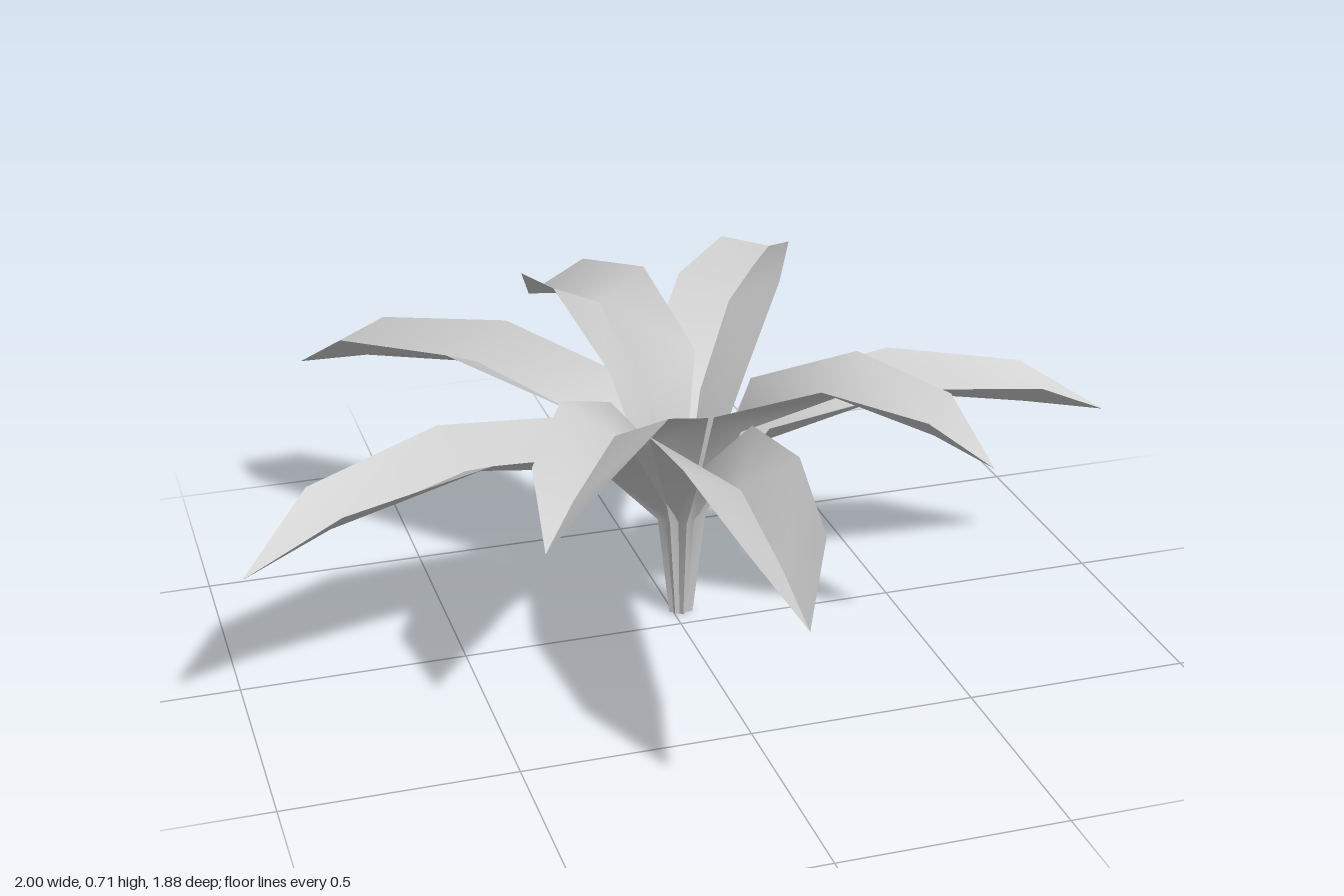
import * as THREE from 'three';

const BASE = new THREE.Vector3(0.02, 0, -0.07);

// Each leaf: tip x, tip z, midrib heights at rows 2, 3, 4 and at the tip
const LEAVES = [
  [-0.70, -0.855, 0.41, 0.50, 0.45, 0.39],
  [-0.17, -0.68, 0.50, 0.65, 0.61, 0.57],
  [0.53, -0.945, 0.46, 0.56, 0.54, 0.52],
  [1.00, 0.04, 0.41, 0.50, 0.455, 0.42],
  [0.58, 0.38, 0.47, 0.59, 0.535, 0.48],
  [-0.04, 0.94, 0.45, 0.545, 0.52, 0.485],
  [-0.43, 0.48, 0.47, 0.59, 0.535, 0.48],
  [-1.00, 0.22, 0.41, 0.49, 0.44, 0.38],
];

const HALF_WIDTH = [0.012, 0.03, 0.115, 0.122, 0.085, 0];
const FOLD_DEPTH = [0, 0, 0.08, 0.06, 0.065, 0]; // how far the rim rises above the midrib
const FOLD_INWARD = [0.012, 0.025, 0.02, 0, -0.01, 0]; // rim offset towards the stem

// One half of the V-shaped blade: a strip between midrib and rim
function halfBlade(rows, out, across, side) {
  const pos = [], index = [];
  rows.forEach(([r, y], i) => {
    const mid = BASE.clone().addScaledVector(out, r).setY(y);
    const rim = mid.clone()
      .addScaledVector(across, side * HALF_WIDTH[i])
      .addScaledVector(out, -FOLD_INWARD[i]);
    rim.y += FOLD_DEPTH[i];
    pos.push(...mid.toArray(), ...rim.toArray());
    if (i === rows.length - 1) return;
    const a = 2 * i, b = a + 1, c = a + 2, d = a + 3;
    const last = i === rows.length - 2;
    // faces wound so the upper side is the front
    if (side > 0) index.push(a, c, b, ...(last ? [] : [b, c, d]));
    else index.push(a, b, c, ...(last ? [] : [b, d, c]));
  });
  const g = new THREE.BufferGeometry();
  g.setAttribute('position', new THREE.Float32BufferAttribute(pos, 3));
  g.setIndex(index);
  g.computeVertexNormals();
  return g;
}

export function createModel() {
  const plant = new THREE.Group();
  plant.name = 'plant';
  const material = new THREE.MeshStandardMaterial({ color: 0xcccccc, side: THREE.DoubleSide });

  LEAVES.forEach(([x, z, y2, y3, y4, yTip], n) => {
    const out = new THREE.Vector3(x - BASE.x, 0, z - BASE.z);
    const reach = out.length();
    out.normalize();
    const across = new THREE.Vector3(-out.z, 0, out.x);
    // midrib from the stalk foot to the tip: distance from the stem axis, height
    const rows = [
      [0.03, 0], [0.06, 0.245],
      [0.2 * reach, y2], [0.51 * reach, y3], [0.81 * reach, y4], [reach, yTip],
    ];
    const leaf = new THREE.Group();
    leaf.name = `leaf${n + 1}`;
    for (const side of [1, -1]) {
      const half = new THREE.Mesh(halfBlade(rows, out, across, side), material);
      half.name = side > 0 ? 'bladeHalfA' : 'bladeHalfB';
      leaf.add(half);
    }
    plant.add(leaf);
  });
  return plant;
}
